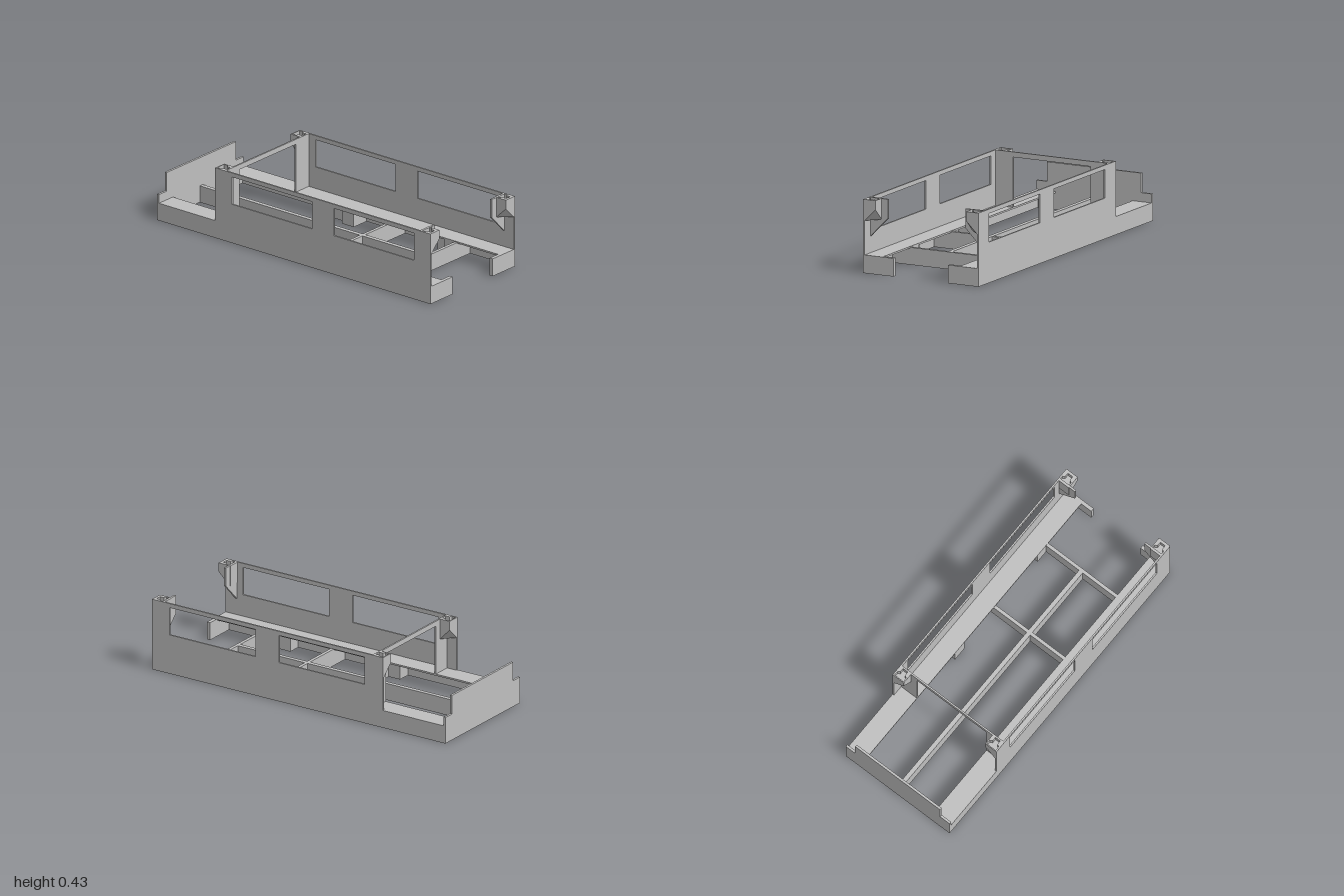
import * as THREE from 'three';
import { ConvexGeometry } from 'three/addons/geometries/ConvexGeometry.js';

const grey = new THREE.MeshStandardMaterial({ color: 0xbfbfbf });
grey.name = 'plain grey';

const polygon = (pts) => new THREE.Shape(pts.map(([a, b]) => new THREE.Vector2(a, b)));
const rect = (a0, a1, b0, b1) => polygon([[a0, b0], [a1, b0], [a1, b1], [a0, b1]]);
const extrude = (shape, depth) =>
  new THREE.ExtrudeGeometry(shape, { depth, bevelEnabled: false, curveSegments: 12 });

export function createModel() {
  const model = new THREE.Group();
  model.name = 'openBodyFrame';

  const add = (name, geometry) => {
    const mesh = new THREE.Mesh(geometry, grey);
    mesh.name = name;
    model.add(mesh);
    return mesh;
  };
  // Box given by its limits on each axis
  const box = (name, x0, x1, y0, y1, z0, z1) => {
    const mesh = add(name, new THREE.BoxGeometry(Math.abs(x1 - x0), y1 - y0, z1 - z0));
    mesh.position.set((x0 + x1) / 2, (y0 + y1) / 2, (z0 + z1) / 2);
  };

  for (const s of [1, -1]) {
    const side = s > 0 ? 'left' : 'right';

    // Side wall with two window openings and a low rear section
    const wall = polygon([[1, 0], [1, 0.425], [-0.575, 0.425], [-0.575, 0.105], [-1, 0.105], [-1, 0]]);
    wall.holes.push(rect(0.295, 0.88, 0.235, 0.4), rect(-0.45, 0.135, 0.235, 0.4));
    const wallGeo = extrude(wall, 0.01).rotateY(-Math.PI / 2);
    wallGeo.translate(s > 0 ? 0.373 : -0.363, 0, 0);
    add(side + 'Wall', wallGeo);

    // Floor ledge and front lip
    box(side + 'Floor', s * 0.25, s * 0.364, 0.095, 0.105, -0.99, 0.998);
    box(side + 'FrontLip', s * 0.177, s * 0.364, 0, 0.105, 0.978, 1);

    // Post plates: chamfered hanging one in front, full height one at the rear
    const hanging = polygon([[s * 0.364, 0.2], [s * 0.25, 0.315], [s * 0.25, 0.425], [s * 0.364, 0.425]]);
    add(side + 'FrontPostPlate', extrude(hanging, 0.012).translate(0, 0, 0.921));
    box(side + 'RearPostPlate', s * 0.25, s * 0.364, 0.105, 0.425, -0.51, -0.5);

    // Corner sockets: slotted cap over a block with its lower inner corner cut away
    for (const end of [1, -1]) {
      const name = side + (end > 0 ? 'Front' : 'Rear');
      const outer = end > 0 ? 1 : -0.575;
      const inner = end > 0 ? 0.918 : -0.5;
      const low = Math.min(outer, inner);
      const high = Math.max(outer, inner);
      const cap = rect(0.293, 0.372, low, high);
      cap.holes.push(polygon([
        [0.301, low + 0.006], [0.365, low + 0.006], [0.365, low + 0.032], [0.35, low + 0.04],
        [0.35, low + 0.066], [0.316, low + 0.066], [0.316, low + 0.04], [0.301, low + 0.032],
      ]));
      const capGeo = extrude(cap, 0.035).rotateX(Math.PI / 2);
      capGeo.translate(s > 0 ? 0 : -0.665, 0.425, 0);
      add(name + 'SocketCap', capGeo);

      const cut = inner + (outer - inner) * 0.12;
      const pts = [
        [0.293, 0.39, outer], [0.372, 0.39, outer], [0.293, 0.39, inner], [0.372, 0.39, inner],
        [0.293, 0.303, inner], [0.372, 0.303, inner], [0.372, 0.303, outer],
        [0.293, 0.372, outer], [0.363, 0.303, outer], [0.293, 0.303, cut],
      ].map(([x, y, z]) => new THREE.Vector3(s * x, y, z));
      add(name + 'SocketBlock', new ConvexGeometry(pts));
    }

    // Mounting pads with two holes, each under a stepped pocket
    for (const z of [0.588, -0.16]) {
      const pad = rect(-0.082, 0.082, 0.285, 0.373);
      for (const c of [-0.042, 0.042]) {
        const hole = new THREE.Path();
        hole.absarc(c, 0.33, 0.017, 0, Math.PI * 2, true);
        pad.holes.push(hole);
      }
      const padGeo = extrude(pad, 0.015).rotateX(-Math.PI / 2).rotateY(s > 0 ? Math.PI / 2 : -Math.PI / 2);
      // The pad runs along z and reaches out to the wall face
      padGeo.computeBoundingBox();
      const b = padGeo.boundingBox;
      padGeo.translate(s * 0.329 - (b.min.x + b.max.x) / 2, 0, z);
      add(side + 'MountingPad', padGeo);

      box(side + 'PocketFront', s * 0.25, s * 0.364, 0, 0.096, z + 0.072, z + 0.082);
      box(side + 'PocketBack', s * 0.285, s * 0.364, 0, 0.096, z - 0.082, z - 0.072);
      box(side + 'PocketInner', s * 0.285, s * 0.295, 0, 0.096, z - 0.082, z);
      box(side + 'PocketStep', s * 0.25, s * 0.295, 0, 0.096, z - 0.005, z + 0.005);
      box(side + 'PocketFace', s * 0.25, s * 0.26, 0, 0.096, z, z + 0.082);
    }
  }

  // Underframe: centre spine and two cross beams
  box('centreSpine', -0.013, 0.013, 0, 0.1, -0.99, 0.67);
  for (const z of [0.67, 0.195]) box('crossBeam', -0.364, 0.364, 0, 0.1, z - 0.01, z + 0.01);

  // Rail joining the tops of the rear posts
  box('rearTopRail', -0.295, 0.295, 0.395, 0.425, -0.51, -0.5);

  // Rear wall with a raised, narrower middle
  const rear = polygon([
    [-0.373, 0], [0.373, 0], [0.373, 0.157], [0.305, 0.157],
    [0.305, 0.27], [-0.305, 0.27], [-0.305, 0.157], [-0.373, 0.157],
  ]);
  add('rearWall', extrude(rear, 0.014).translate(0, 0, -1));

  return model;
}
